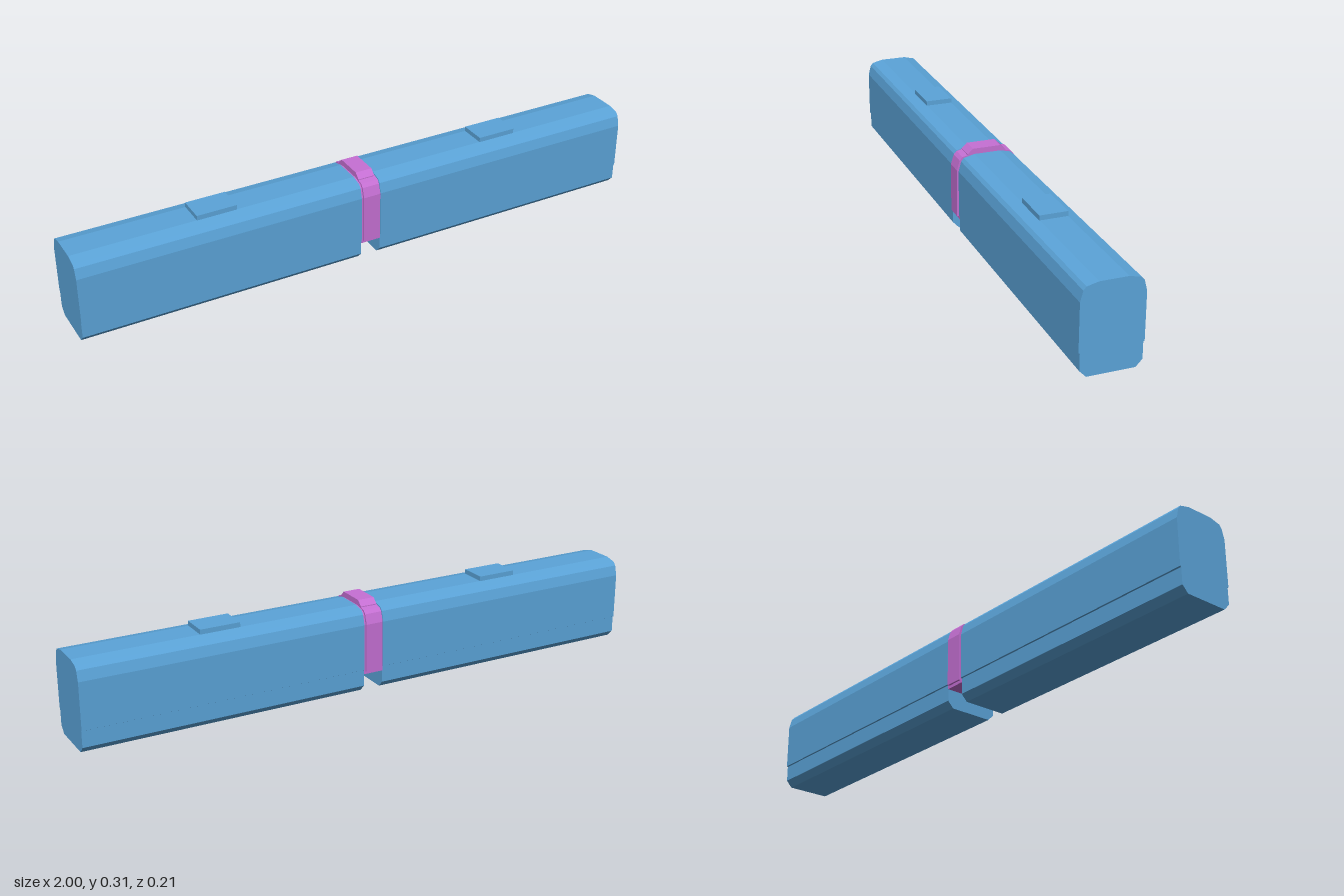
import * as THREE from 'three';

// Mirrors a half section of [z, y] points (bottom to top) and extrudes it along x.
function sectionBar(half, x0, x1) {
  const points = [...half, ...half.slice().reverse().map(([z, y]) => [-z, y])];
  const shape = new THREE.Shape(points.map(([z, y]) => new THREE.Vector2(z, y)));
  const geometry = new THREE.ExtrudeGeometry(shape, { depth: x1 - x0, bevelEnabled: false });
  geometry.rotateY(Math.PI / 2);
  geometry.translate(x0, 0, 0);
  return geometry;
}

export function createModel() {
  const model = new THREE.Group();
  model.name = 'articulatedCar';

  const blue = new THREE.MeshStandardMaterial({ color: 0x5ba4d9 });
  blue.name = 'bodyBlue';
  const pink = new THREE.MeshStandardMaterial({ color: 0xc670d4 });
  pink.name = 'jointPink';

  const add = (name, geometry, material) => {
    const mesh = new THREE.Mesh(geometry, material);
    mesh.name = name;
    model.add(mesh);
    return mesh;
  };

  // Car section: bevelled skirt, small step, straight side, rounded roof
  const carSection = [
    [0.075, 0], [0.096, 0.022], [0.096, 0.077], [0.1, 0.079], [0.1, 0.235],
    [0.091, 0.269], [0.082, 0.28], [0.045, 0.289],
  ];

  // Two car halves, each with a raised roof box
  for (const [side, s] of [['left', 1], ['right', -1]]) {
    const [x0, x1] = s > 0 ? [0.035, 1] : [-1, -0.035];
    add(side + 'Body', sectionBar(carSection, x0, x1), blue);
    const box = add(side + 'RoofBox', new THREE.BoxGeometry(0.136, 0.02, 0.092), blue);
    box.position.set(s * 0.518, 0.295, 0);
  }

  // Inner core of the joint, filling the gap between the cars
  const coreSection = [
    [0.097, 0.063], [0.097, 0.235], [0.088, 0.266], [0.079, 0.277], [0.045, 0.286],
  ];
  add('jointCore', sectionBar(coreSection, -0.035, 0.035), pink);

  // Outer band of the joint, standing proud of the sides and roof
  const bandSection = [
    [0.104, 0.073], [0.104, 0.237], [0.094, 0.27], [0.084, 0.281],
    [0.066, 0.285], [0.066, 0.288], [0.048, 0.305],
  ];
  add('jointBand', sectionBar(bandSection, -0.029, 0.029), pink);

  return model;
}
